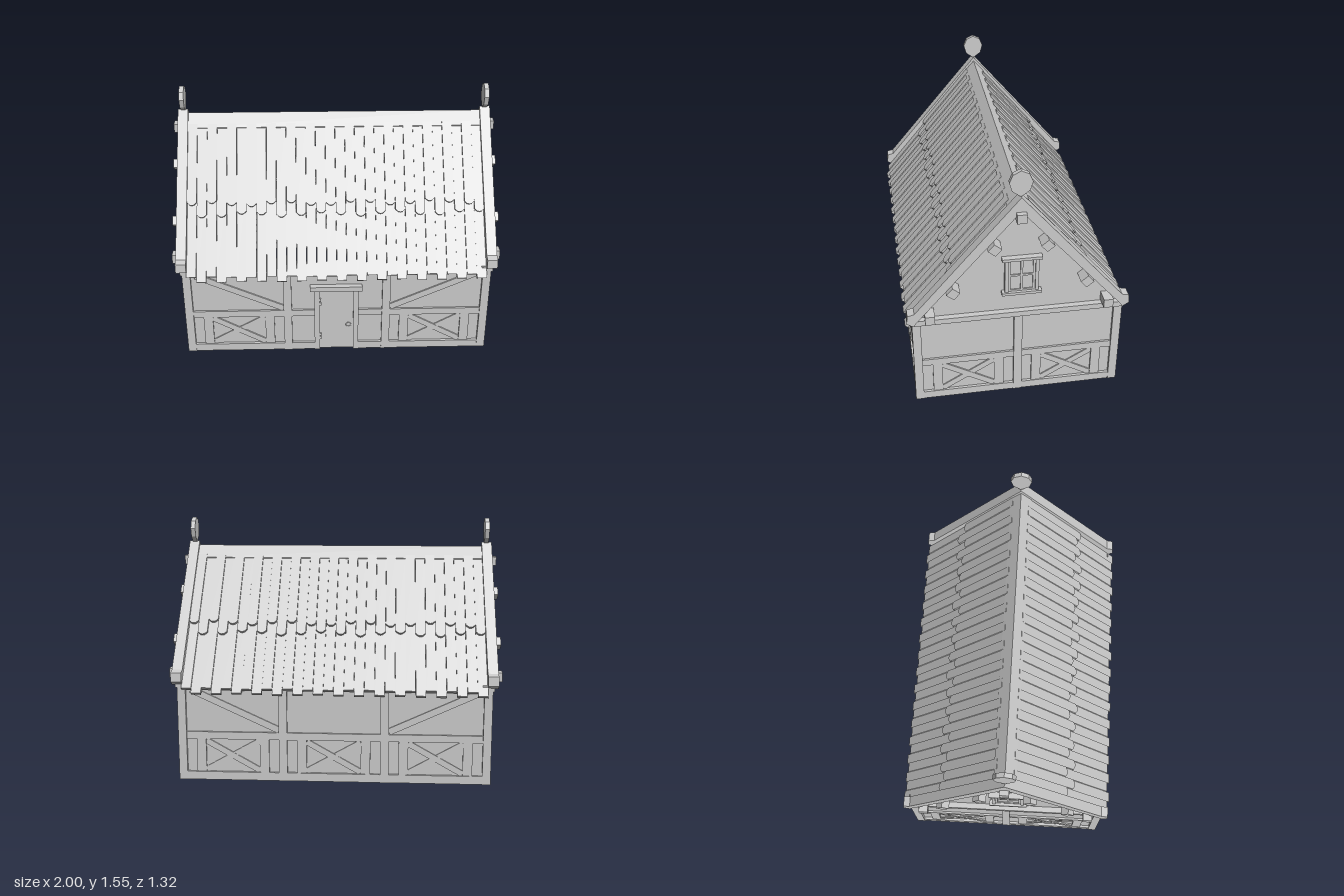
import * as THREE from 'three';

const mat = new THREE.MeshStandardMaterial({ color: 0xcccccc, flatShading: true, side: THREE.DoubleSide });

function add(parent, name, geo, x = 0, y = 0, z = 0) {
  const m = new THREE.Mesh(geo, mat);
  m.name = name;
  m.position.set(x, y, z);
  parent.add(m);
  return m;
}

// box from its limits in x and y, with depth d centred on z
function slab(parent, name, x0, x1, y0, y1, d, z = 0) {
  return add(parent, name, new THREE.BoxGeometry(x1 - x0, y1 - y0, d), (x0 + x1) / 2, (y0 + y1) / 2, z);
}

// straight beam between two points of a wall
function brace(parent, name, x0, y0, x1, y1, w, d) {
  const m = add(parent, name, new THREE.BoxGeometry(Math.hypot(x1 - x0, y1 - y0), w, d), (x0 + x1) / 2, (y0 + y1) / 2);
  m.rotation.z = Math.atan2(y1 - y0, x1 - x0);
  return m;
}

function extrude(points, depth) {
  const shape = new THREE.Shape(points.map(p => new THREE.Vector2(...p)));
  return new THREE.ExtrudeGeometry(shape, { depth, bevelEnabled: false });
}

// symmetric profile (half given as [z, y], top to bottom) extruded along x
function alongX(half, x0, x1, inner = []) {
  const flip = a => a.map(([z, y]) => [-z, y]).reverse();
  const pts = [...half, ...inner, ...flip(inner), ...flip(half)];
  const clean = pts.filter((p, i) => {
    const q = pts[(i + 1) % pts.length];
    return Math.hypot(p[0] - q[0], p[1] - q[1]) > 1e-6;
  });
  return extrude(clean, x1 - x0).rotateY(Math.PI / 2).translate(x0, 0, 0);
}

function rails(wall, u0, u1) {
  slab(wall, 'middleRail', u0, u1, 0.255, 0.3, 0.036);
  slab(wall, 'sill', u0, u1, 0, 0.05, 0.044);
}

// lower bay: rails, two upright boards and a crossed panel
function bay(wall, u0, u1) {
  rails(wall, u0, u1);
  const a = u0 + 0.117, b = u1 - 0.117;
  slab(wall, 'bayBoard', u0 + 0.06, a, 0.05, 0.255, 0.036);
  slab(wall, 'bayBoard', b, u1 - 0.06, 0.05, 0.255, 0.036);
  brace(wall, 'crossBrace', a, 0.06, b, 0.245, 0.036, 0.026);
  brace(wall, 'crossBrace', a, 0.245, b, 0.06, 0.036, 0.03);
}

function longWall(hasDoor) {
  const wall = new THREE.Group();
  wall.name = hasDoor ? 'frontWall' : 'backWall';
  slab(wall, 'wallPanel', -0.9, 0.9, 0.01, 0.58, 0.012);
  slab(wall, 'eavesBeam', -0.94, 0.94, 0.56, 0.59, 0.05);
  for (const s of [-1, 1]) {
    slab(wall, 'cornerPost', s * 0.915 - 0.025, s * 0.915 + 0.025, 0, 0.575, 0.05);
    slab(wall, 'middlePost', s * 0.305 - 0.025, s * 0.305 + 0.025, 0, 0.575, 0.05);
    bay(wall, Math.min(s * 0.33, s * 0.89), Math.max(s * 0.33, s * 0.89));
    brace(wall, 'diagonalBrace', s * 0.86, 0.56, s * 0.33, 0.315, 0.04, 0.03);
  }
  if (!hasDoor) {
    bay(wall, -0.28, 0.28);
    return wall;
  }
  // door with frame, hinges and ring handle
  for (const s of [-1, 1]) rails(wall, s > 0 ? 0.13 : -0.28, s > 0 ? 0.28 : -0.13);
  slab(wall, 'door', -0.11, 0.105, 0.005, 0.455, 0.035);
  slab(wall, 'doorPost', -0.14, -0.108, 0, 0.455, 0.056);
  slab(wall, 'doorPost', 0.102, 0.134, 0, 0.455, 0.056);
  slab(wall, 'doorLintel', -0.165, 0.155, 0.452, 0.484, 0.08);
  for (const y of [0.09, 0.115, 0.35, 0.38]) slab(wall, 'hinge', -0.108, -0.097, y - 0.009, y + 0.009, 0.012, 0.02);
  add(wall, 'doorHandle', new THREE.TorusGeometry(0.015, 0.003, 5, 10), 0.072, 0.188, 0.021);
  return wall;
}

function gableWindow() {
  const w = new THREE.Group();
  w.name = 'gableWindow';
  slab(w, 'windowPane', -0.08, 0.08, -0.11, 0.11, 0.012);
  for (const s of [-1, 1]) {
    slab(w, 'windowJamb', s * 0.088 - 0.01, s * 0.088 + 0.01, -0.112, 0.112, 0.04);
    slab(w, 'windowInnerSide', s * 0.071 - 0.007, s * 0.071 + 0.007, -0.112, 0.112, 0.026);
    slab(w, 'windowInnerRail', -0.078, 0.078, s * 0.105 - 0.007, s * 0.105 + 0.007, 0.026);
    slab(w, 'windowLedge', -0.115, 0.115, s * 0.118 - 0.009, s * 0.118 + 0.009, 0.06);
  }
  slab(w, 'windowBar', -0.007, 0.007, -0.105, 0.105, 0.026);
  slab(w, 'windowBar', -0.07, 0.07, -0.006, 0.006, 0.026);
  return w;
}

// end wall facing local +z, with gable, purlin ends and finial
function endWall(name) {
  const wall = new THREE.Group();
  wall.name = name;
  slab(wall, 'wallPanel', -0.58, 0.58, 0.01, 0.6, 0.012);
  slab(wall, 'tieBeam', -0.62, 0.62, 0.575, 0.61, 0.07);
  slab(wall, 'middlePost', -0.025, 0.025, 0, 0.575, 0.05);
  bay(wall, 0.025, 0.57);
  bay(wall, -0.57, -0.025);
  add(wall, 'gable', extrude([[-0.6, 0.6], [0.6, 0.6], [0, 1.32]], 0.015), 0, 0, -0.015);

  // purlin ends: upright at ridge and eaves, tilted along the slope
  const tilt = Math.atan(1.2);
  add(wall, 'ridgePurlin', new THREE.BoxGeometry(0.056, 0.056, 0.15), 0, 1.28, 0.01);
  for (const s of [-1, 1]) {
    add(wall, 'eavesPurlin', new THREE.BoxGeometry(0.056, 0.056, 0.15), s * 0.518, 0.645, 0.01);
    for (const [u, y] of [[0.383, 0.82], [0.148, 1.092]]) {
      add(wall, 'slopePurlin', new THREE.BoxGeometry(0.056, 0.056, 0.15), s * u, y, 0.01).rotation.z = -s * tilt;
    }
  }
  const win = gableWindow();
  win.position.set(0.016, 0.86, 0.005);
  wall.add(win);

  const half = [[0, 1.4], [0.605, 0.68], [0.645, 0.67], [0.65, 0.615], [0.61, 0.59], [0.6, 0.61], [0, 1.31]];
  const left = half.map(([u, y]) => [-u, y]);
  for (const p of [half, left]) add(wall, 'bargeboard', extrude(p, 0.063), 0, 0, -0.008);

  const f = [[0, 1.552], [0.045, 1.53], [0.065, 1.483], [0.05, 1.43], [0, 1.392]];
  add(wall, 'finial', extrude([...f, ...f.slice(1, -1).reverse().map(([u, y]) => [-u, y])], 0.028), 0, 0, 0.007);
  return wall;
}

// one roof slope: local y runs up the slope, local z points outward
function roofSlope(name) {
  const slope = new THREE.Group();
  slope.name = name;
  const n = 30, pitch = 1.82 / n, h = pitch / 2 - 0.0006;
  for (let i = 0; i < n; i++) {
    const x = -0.91 + (i + 0.5) * pitch;
    const odd = i % 2, lift = odd ? -0.006 : 0;
    const wob = 0.012 * Math.sin(i * 2.3);
    const end = (odd ? 1.038 : 1.01) + wob * 0.25;
    add(slope, 'lowerRoofBoard', extrude([[-h, -end], [h, -end], [h, -0.45], [-h, -0.45]], 0.022), x, 0, -0.022 + lift);
    const tip = (odd ? 0.638 : 0.572) + wob;
    add(slope, 'upperRoofBoard',
      extrude([[-h, -tip + 0.018], [-h * 0.45, -tip + 0.003], [0, -tip], [h * 0.45, -tip + 0.003], [h, -tip + 0.018], [h, -0.06], [-h, -0.06]], 0.02),
      x, 0, -0.003 + lift);
  }
  slope.position.y = 1.355;
  slope.rotation.x = -(Math.PI / 2 - Math.atan(1.2));
  return slope;
}

export function createModel() {
  const house = new THREE.Group();
  house.name = 'timberHouse';

  for (const front of [true, false]) {
    const turn = new THREE.Group();
    turn.name = front ? 'frontHalf' : 'backHalf';
    turn.rotation.y = front ? 0 : Math.PI;
    const wall = longWall(front);
    wall.position.z = 0.595;
    const end = endWall(front ? 'leftEndWall' : 'rightEndWall');
    end.position.x = 0.915;
    end.rotation.y = Math.PI / 2;
    turn.add(wall, end, roofSlope(front ? 'frontRoof' : 'backRoof'));
    house.add(turn);
  }

  // ridge cap over the top edges of the boards
  add(house, 'ridgeCap', alongX([[0, 1.374], [0.066, 1.3], [0.06, 1.274]], -0.91, 0.91, [[0, 1.346]]));
  return house;
}
